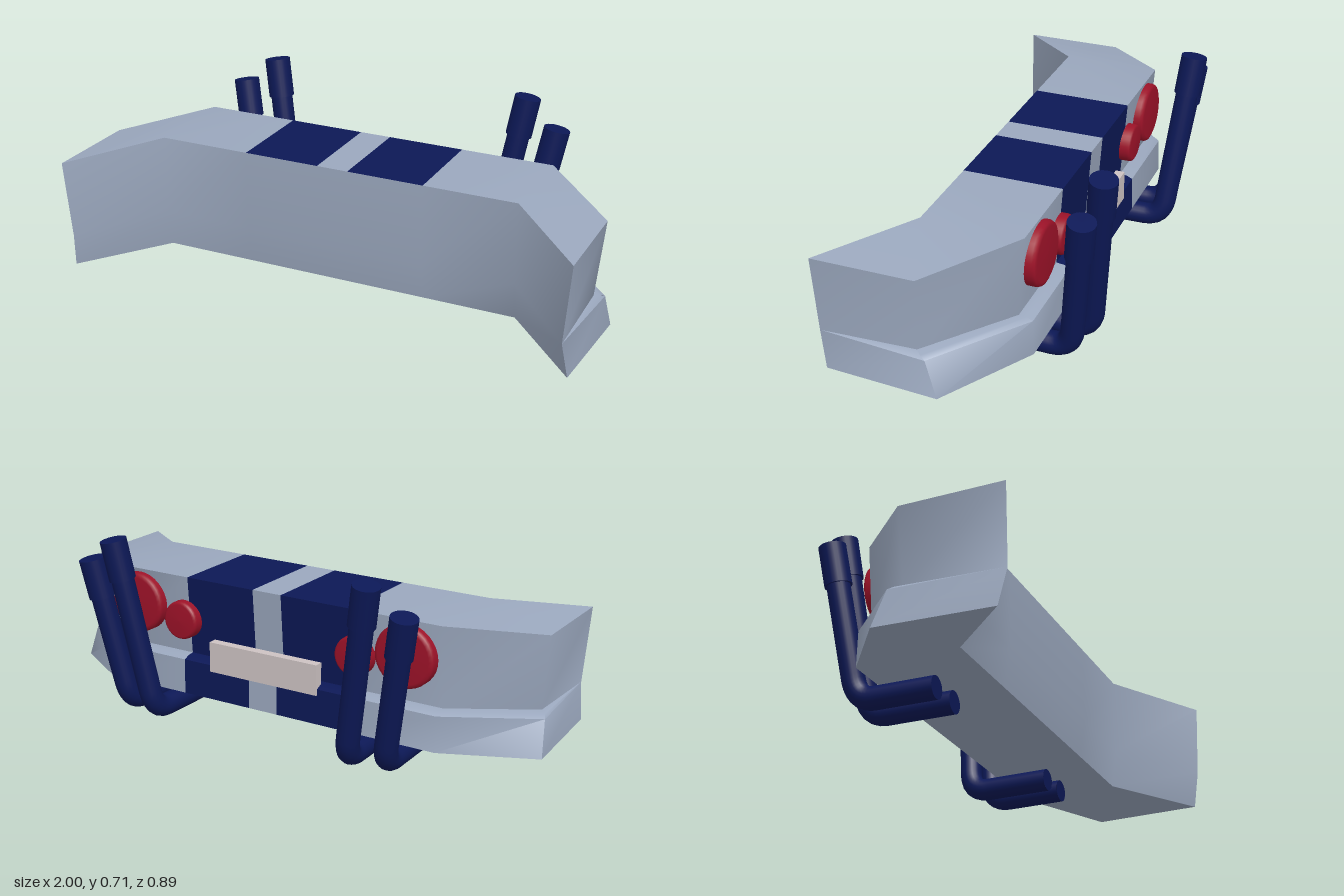
import * as THREE from 'three';
import { toCreasedNormals } from 'three/addons/utils/BufferGeometryUtils.js';

const mat = (color) => new THREE.MeshStandardMaterial({ color });
const bodyMat = mat(0x9aa7bd), navy = mat(0x0c1856), red = mat(0x9c1228), plateMat = mat(0xccc2c2);
navy.side = THREE.DoubleSide;

// Cross-section [y, z]: front top, back top, back step, lip, lip edge, back bottom, front bottom, front middle
const MID = [[.535, .18], [.535, -.19], [.235, -.167], [.232, -.195], [.222, -.217], [.09, -.22], [.09, .16], [.232, .18]];
// End section [x, y, z], same order
const END = [[.98, .48, .445], [.98, .48, .07], [.955, .2, .085], [.975, .195, .065], [.985, .185, .045],
  [1, .055, 0], [.975, .055, .415], [.957, .19, .44]];

const midSection = (x) => MID.map(([y, z]) => [x, y, z]);
const endSection = (s) => END.map(([x, y, z]) => [s * x, y, z]);

function add(group, name, geometry, material) {
  const mesh = new THREE.Mesh(geometry, material);
  mesh.name = name;
  group.add(mesh);
  return mesh;
}

function quadGeometry(quads) {
  const pos = [];
  for (const [a, b, c, d] of quads) pos.push(...a, ...b, ...c, ...a, ...c, ...d);
  const g = new THREE.BufferGeometry();
  g.setAttribute('position', new THREE.Float32BufferAttribute(pos, 3));
  return toCreasedNormals(g, 0.9);
}

// Bumper shell with two stripes running over the top and down the back
function buildBumper(group) {
  const sections = [endSection(-1), ...[-.7, -.35, -.06, .06, .35, .7].map(midSection), endSection(1)];
  const body = [], stripes = [];
  for (let i = 0; i < sections.length - 1; i++) {
    const a = sections[i], b = sections[i + 1];
    for (let k = 0; k < 8; k++) {
      const n = (k + 1) % 8;
      const striped = (i === 2 || i === 4) && k < 5;
      (striped ? stripes : body).push([a[k], b[k], b[n], a[n]]);
    }
  }
  // End caps: upper side, ledge, lower side
  for (const ids of [[0, 1, 2, 7], [7, 2, 3, 4], [7, 4, 5, 6]]) {
    body.push(ids.map((k) => sections[0][k]));
    body.push([...ids].reverse().map((k) => sections[7][k]));
  }
  add(group, 'bumperBody', quadGeometry(body), bodyMat);
  add(group, 'stripes', quadGeometry(stripes), navy);
}

// Round lamp with a softened rim, facing back
function buildLight(group, name, x, y, r) {
  const profile = [[0, .055], [r * .85, .053], [r * .96, .048], [r, .038], [r, 0]]
    .reverse().map((p) => new THREE.Vector2(...p));
  const light = add(group, name, new THREE.LatheGeometry(profile, 32), red);
  light.rotation.x = -Math.PI / 2;
  light.position.set(x, y, -.167);
}

// Exhaust: horizontal run, bend, slanted riser and a wider tip
function buildExhaust(group, name, base, knee, top) {
  const pipe = new THREE.Group();
  pipe.name = name;
  const start = new THREE.Vector3(...base);
  const corner = new THREE.Vector3(...knee);
  const end = new THREE.Vector3(...top);
  const up = end.clone().sub(corner).normalize();
  const bendIn = corner.clone().add(new THREE.Vector3(0, 0, .07));
  const bendOut = corner.clone().addScaledVector(up, .08);
  const path = new THREE.CurvePath();
  path.add(new THREE.LineCurve3(start, bendIn));
  path.add(new THREE.QuadraticBezierCurve3(bendIn, corner, bendOut));
  path.add(new THREE.LineCurve3(bendOut, end.clone().addScaledVector(up, -.02)));
  add(pipe, 'pipe', new THREE.TubeGeometry(path, 48, .042, 20), navy);
  add(pipe, 'pipeEnd', new THREE.CircleGeometry(.042, 20), navy).position.copy(start);
  const tip = add(pipe, 'tip', new THREE.CylinderGeometry(.049, .049, .15, 24), navy);
  tip.quaternion.setFromUnitVectors(new THREE.Vector3(0, 1, 0), up);
  tip.position.copy(end).addScaledVector(up, -.075);
  group.add(pipe);
}

export function createModel() {
  const group = new THREE.Group();
  group.name = 'rearBumper';
  buildBumper(group);

  // Blank plate on the back
  const plate = add(group, 'plate', new THREE.BoxGeometry(.46, .115, .035), plateMat);
  plate.position.set(0, .257, -.206);

  for (const s of [1, -1]) {
    const side = s > 0 ? 'left' : 'right';
    buildLight(group, side + 'OuterLight', s * .57, .408, .115);
    buildLight(group, side + 'InnerLight', s * .37, .37, .073);
    buildExhaust(group, side + 'InnerExhaust', [s * .41, .043, 0], [s * .415, .043, -.325], [s * .525, .7, -.395]);
    buildExhaust(group, side + 'OuterExhaust', [s * .545, .043, 0], [s * .55, .043, -.298], [s * .652, .605, -.367]);
  }
  return group;
}
